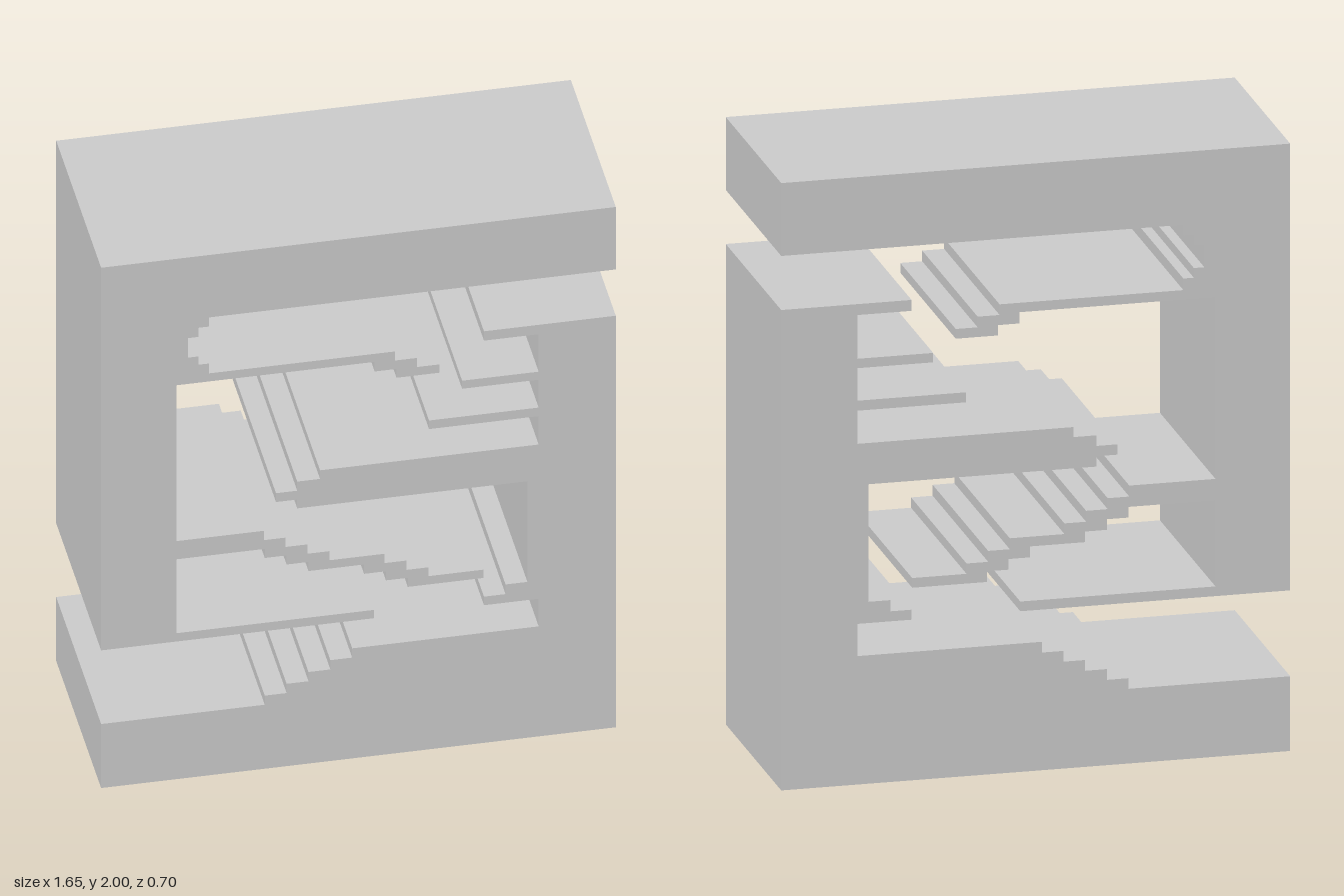
import * as THREE from 'three';

const HALF_WIDTH = 0.824;
const DEPTH = 0.704;

// Right-angled outline: h/v draw to a coordinate, stairs repeats a rise and a tread.
function outline(x, y) {
  const shape = new THREE.Shape();
  shape.moveTo(x, y);
  const pen = {
    shape,
    h(...xs) { for (x of xs) shape.lineTo(x, y); return pen; },
    v(...ys) { for (y of ys) shape.lineTo(x, y); return pen; },
    // alternating moves: vertical, horizontal, vertical, ...
    zigzag(...c) { c.forEach((n, i) => (i % 2 ? pen.h(n) : pen.v(n))); return pen; },
    stairs(count, tread, rise) {
      for (let i = 0; i < count; i++) pen.v(y + rise).h(x + tread);
      return pen;
    },
  };
  return pen;
}

function slab(name, pen, material) {
  const geometry = new THREE.ExtrudeGeometry(pen.shape, { depth: DEPTH, bevelEnabled: false });
  geometry.translate(0, 0, -DEPTH / 2);
  const mesh = new THREE.Mesh(geometry, material);
  mesh.name = name;
  return mesh;
}

export function createModel() {
  const group = new THREE.Group();
  group.name = 'steppedBuildingSection';
  const material = new THREE.MeshStandardMaterial({ color: 0xcccccc });

  // Roof, left wall and the floors hanging off that wall
  const upper = outline(-HALF_WIDTH, 2).h(HALF_WIDTH).v(1.76).h(-0.478)
    // stepped niche under the roof
    .stairs(2, -0.034, -0.035)
    .zigzag(1.615, -0.512, 1.583, -0.478, 1.545, 0.117)
    // top floor with short stair
    .stairs(2, 0.071, -0.035)
    .zigzag(1.443, 0.122, 1.477, 0.052, 1.514, -0.582)
    // middle floor with long stair, treads then underside
    .zigzag(0.915, -0.303)
    .stairs(3, 0.07, -0.036)
    .zigzag(0.772, 0.084)
    .stairs(2, 0.07, -0.036)
    .zigzag(0.666, 0.4, 0.634, 0.158)
    .stairs(2, -0.07, 0.035)
    .zigzag(0.74, -0.16)
    .stairs(2, -0.07, 0.035)
    .zigzag(0.845, -0.582)
    // lowest shelf
    .zigzag(0.561, 0.05, 0.529, -HALF_WIDTH);
  group.add(slab('roofLeftWallAndFloors', upper, material));

  // Base, right wall and the ledges reaching in from it
  const lower = outline(-HALF_WIDTH, 0).h(HALF_WIDTH)
    .zigzag(1.582, 0.402, 1.546, 0.577)
    // two thin shelves
    .zigzag(1.402, 0.332, 1.371, 0.577)
    .zigzag(1.264, 0.226, 1.231, 0.577)
    // thick floor with stepped nose
    .zigzag(1.122, -0.123, 1.089, -0.196, 1.054, -0.264, 1.02, -0.196, 0.986, 0.541)
    // small stepped ledge
    .zigzag(0.599, 0.471, 0.562, 0.402, 0.529, 0.577)
    // ground floor and entrance stair
    .zigzag(0.423, -0.02)
    .stairs(4, -0.07, -0.0355)
    .zigzag(0.246, -HALF_WIDTH);
  group.add(slab('baseRightWallAndLedges', lower, material));

  return group;
}
